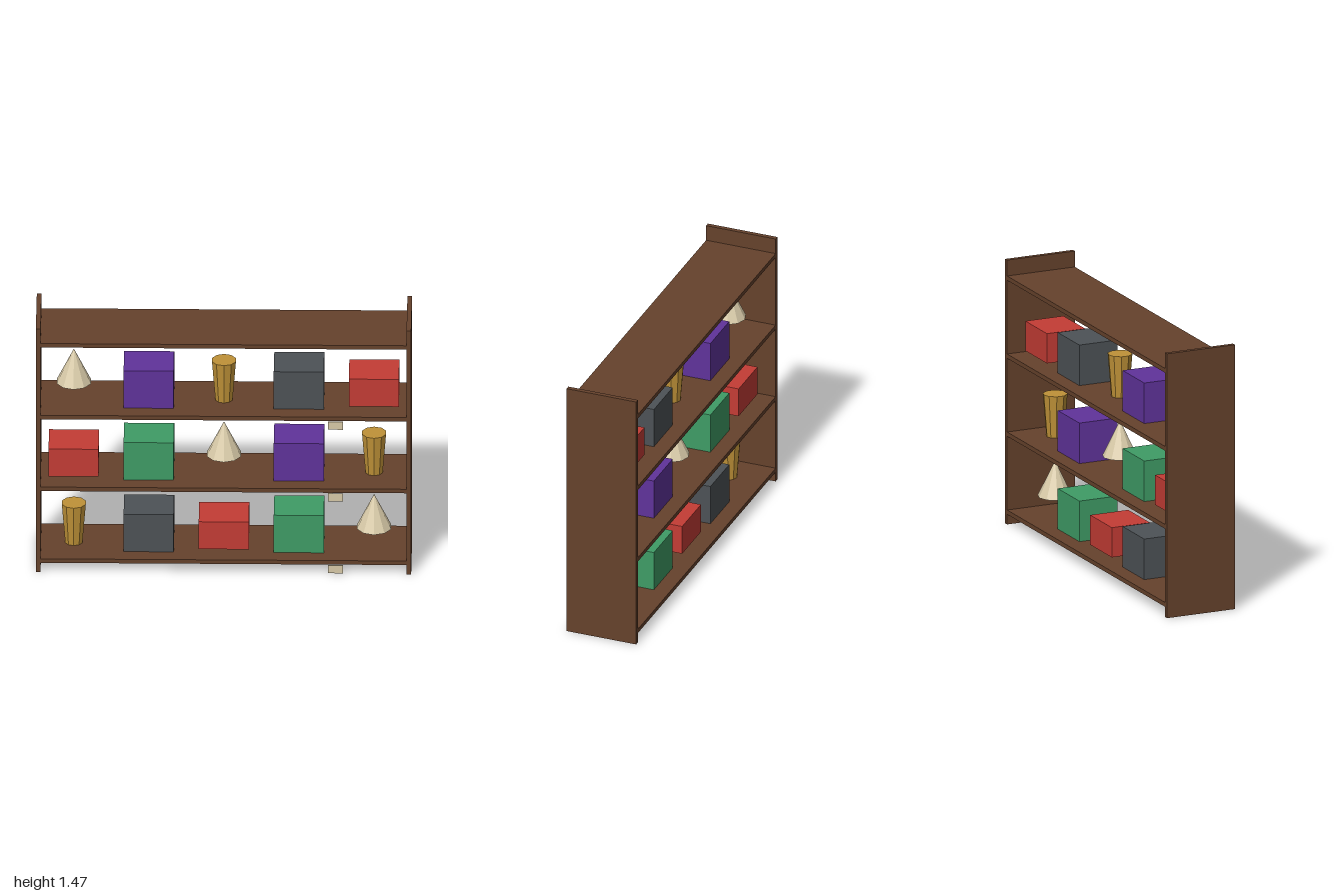
import * as THREE from 'three';

const mat = (name, color, flatShading = false) => {
  const m = new THREE.MeshStandardMaterial({ color, flatShading });
  m.name = name;
  return m;
};

export function createModel() {
  const wood = mat('walnut', 0x66422c);
  const red = mat('red', 0xc43c35);
  const green = mat('green', 0x3f9c66);
  const purple = mat('purple', 0x60339b);
  const grey = mat('slate grey', 0x4d5256);
  const gold = mat('gold', 0xbf9238, true);
  const cream = mat('cream', 0xd8caa8, true);

  const group = new THREE.Group();
  group.name = 'shelfUnit';
  const Z = -0.005; // centre line of the shelves; the tags stand proud in front

  const add = (name, geometry, material, x, y, z = Z) => {
    const mesh = new THREE.Mesh(geometry, material);
    mesh.name = name;
    mesh.position.set(x, y, z);
    group.add(mesh);
  };

  // Side panels
  for (const s of [-1, 1]) {
    add(s > 0 ? 'leftPanel' : 'rightPanel', new THREE.BoxGeometry(0.025, 1.467, 0.4), wood, s * 0.9875, 0.7335);
  }

  // Goods, each placed relative to the top of its shelf
  const box = (name, h, lift, material) => (x, y) =>
    add(name, new THREE.BoxGeometry(0.267, h, 0.225), material, x, y + lift + h / 2);
  const crate = (material) => box('crate', 0.225, 0, material);
  const carton = box('carton', 0.165, 0.018, red);
  const cup = (x, y) => add('cup', new THREE.CylinderGeometry(0.067, 0.048, 0.235, 10), gold, x, y + 0.1175);
  const cone = (x, y) => add('cone', new THREE.ConeGeometry(0.095, 0.197, 10), cream, x, y + 0.1985);

  const rows = [
    [cup, crate(grey), carton, crate(green), cone],
    [carton, crate(green), cone, crate(purple), cup],
    [cone, crate(purple), cup, crate(grey), carton],
    [], // bare top shelf
  ];

  rows.forEach((items, r) => {
    const top = 0.08 + r * 0.433;
    add('shelf', new THREE.BoxGeometry(1.95, 0.024, 0.4), wood, 0, top - 0.012);
    items.forEach((place, i) => place(-0.8 + i * 0.4, top));
    // Price tag hanging under the front edge
    if (items.length) add('tag', new THREE.BoxGeometry(0.08, 0.047, 0.005), cream, 0.597, top - 0.0475, 0.2025);
  });

  return group;
}
